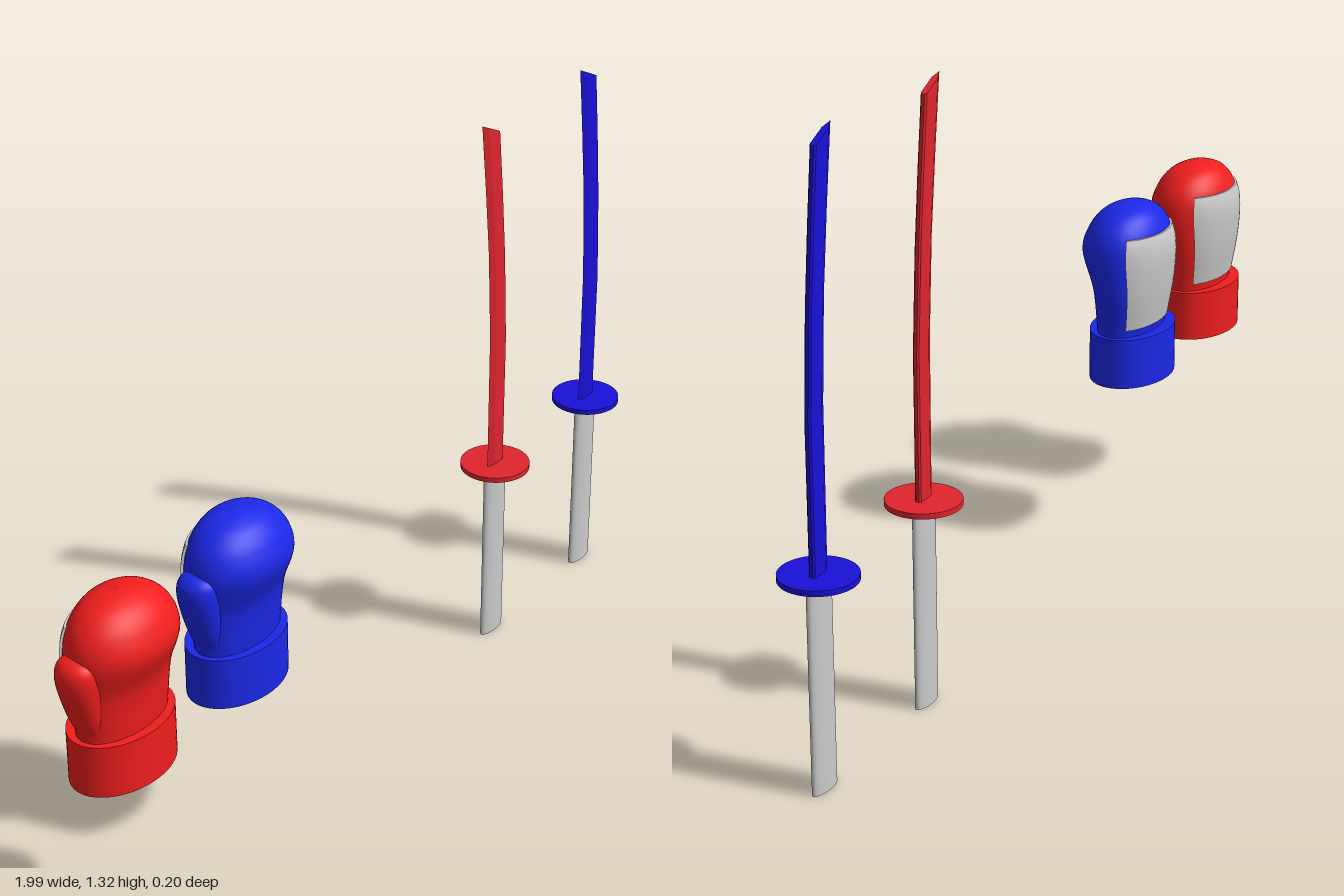
import * as THREE from 'three';
import { toCreasedNormals } from 'three/addons/utils/BufferGeometryUtils.js';
import { ParametricGeometry } from 'three/addons/geometries/ParametricGeometry.js';

const GREY = 0xcccccc;

function addMesh(parent, name, geometry, color) {
  const mesh = new THREE.Mesh(geometry, new THREE.MeshStandardMaterial({ color }));
  mesh.name = name;
  parent.add(mesh);
  return mesh;
}

// Smooth surface through elliptical rings [y, centre x, centre z, half width, half depth]
function ringSurface(rings) {
  const centres = new THREE.CatmullRomCurve3(
    rings.map(([y, x, z]) => new THREE.Vector3(x, y, z)), false, 'catmullrom', 0.5);
  const radii = new THREE.CatmullRomCurve3(
    rings.map((r) => new THREE.Vector3(r[3], r[4], 0)), false, 'catmullrom', 0.5);
  return (angle, t, scale, target) => {
    const c = centres.getPoint(t);
    const r = radii.getPoint(t);
    target.set(c.x + Math.sin(angle) * r.x * scale, c.y, c.z + Math.cos(angle) * r.y * scale);
  };
}

const handSurface = ringSurface([
  [0.50, 0, -0.005, 0.115, 0.065],
  [0.535, 0, -0.006, 0.118, 0.068],
  [0.62, 0, -0.008, 0.13, 0.079],
  [0.70, 0, 0.004, 0.134, 0.096],
  [0.75, 0, 0.003, 0.121, 0.086],
  [0.785, 0, 0, 0.089, 0.064],
  [0.803, 0, -0.002, 0.048, 0.035],
  [0.81, 0, 0, 0.001, 0.001],
]);

const thumbSurface = ringSurface([
  [0.51, -0.09, -0.005, 0.012, 0.02],
  [0.56, -0.103, -0.005, 0.028, 0.034],
  [0.62, -0.115, -0.005, 0.037, 0.043],
  [0.675, -0.122, -0.005, 0.041, 0.046],
  [0.705, -0.121, -0.005, 0.031, 0.036],
  [0.72, -0.118, -0.005, 0.001, 0.001],
]);

const closedSkin = (surface) => new ParametricGeometry(
  (u, v, target) => surface(u * Math.PI * 2, v, 1, target), 40, 36);

// Raised palm panel: follows the hand, its outer strip folds inward to form the edge
function palmGeometry() {
  const n = 18;
  const inner = (s) => THREE.MathUtils.clamp((s - 1 / n) / (1 - 2 / n), 0, 1);
  const geometry = new ParametricGeometry((u, v, target) => {
    const border = Math.min(u, v, 1 - u, 1 - v) < 0.5 / n;
    const angle = THREE.MathUtils.lerp(2.1, 4.03, inner(u));
    const t = THREE.MathUtils.lerp(1 / 7, 4 / 7, inner(v));
    handSurface(angle, t, border ? 0.97 : 1.05, target);
  }, n, n);
  geometry.deleteAttribute('normal');
  return toCreasedNormals(geometry, 0.7);
}

function makeGlove(name, x, color) {
  const glove = new THREE.Group();
  glove.name = name;
  glove.position.x = x;
  const cuff = addMesh(glove, 'cuff', new THREE.CylinderGeometry(1, 1, 0.117, 48), color);
  cuff.scale.set(0.128, 1, 0.09);
  cuff.position.set(0, 0.4585, -0.009);
  addMesh(glove, 'hand', closedSkin(handSurface), color);
  addMesh(glove, 'thumb', closedSkin(thumbSurface), color);
  addMesh(glove, 'palmPanel', palmGeometry(), GREY);
  return glove;
}

// Curved blade: a bevelled section carried up through rows of left and right edge points
function bladeGeometry() {
  const section = [[0.28, 1], [0.94, 1], [1, 0.5], [1, -0.5], [0.94, -1], [0.28, -1], [0, 0]];
  const rows = [ // left x, left y, right x, right y
    [-0.032, 0.45, 0.025, 0.45],
    [-0.034, 0.79, 0.025, 0.77],
    [-0.047, 1.0, 0.012, 0.98],
    [-0.065, 1.16, -0.004, 1.14],
    [-0.085, 1.318, -0.021, 1.287],
  ];
  const thickness = 0.007;
  const positions = [];
  const index = [];
  const n = section.length;
  rows.forEach(([lx, ly, rx, ry], r) => {
    section.forEach(([f, z], i) => {
      positions.push(lx + (rx - lx) * f, ly + (ry - ly) * f, z * thickness);
      if (r === rows.length - 1) return;
      const a = r * n + i;
      const b = r * n + (i + 1) % n;
      index.push(a, b, b + n, a, b + n, a + n);
    });
  });
  const top = (rows.length - 1) * n;
  for (let i = 1; i < n - 1; i++) index.push(top, top + i, top + i + 1);
  const geometry = new THREE.BufferGeometry();
  geometry.setAttribute('position', new THREE.Float32BufferAttribute(positions, 3));
  geometry.setIndex(index);
  return toCreasedNormals(geometry, 0.25);
}

function makeSword(name, x, color) {
  const sword = new THREE.Group();
  sword.name = name;
  sword.position.set(x, 0, -0.015);
  const handle = addMesh(sword, 'handle', new THREE.CylinderGeometry(1, 1, 0.448, 32), GREY);
  handle.scale.set(0.041, 1, 0.014);
  handle.position.y = 0.224;
  const guard = addMesh(sword, 'guard', new THREE.CylinderGeometry(0.08, 0.08, 0.012, 48), color);
  guard.position.y = 0.451;
  addMesh(sword, 'blade', bladeGeometry(), color);
  return sword;
}

export function createModel() {
  const model = new THREE.Group();
  model.name = 'glovesAndSwords';
  model.add(
    makeGlove('redGlove', -0.836, 0xf01e1e),
    makeGlove('blueGlove', -0.468, 0x1c28e8),
    makeSword('redSword', 0.515, 0xe0252e),
    makeSword('blueSword', 0.915, 0x1a10d8),
  );
  return model;
}
